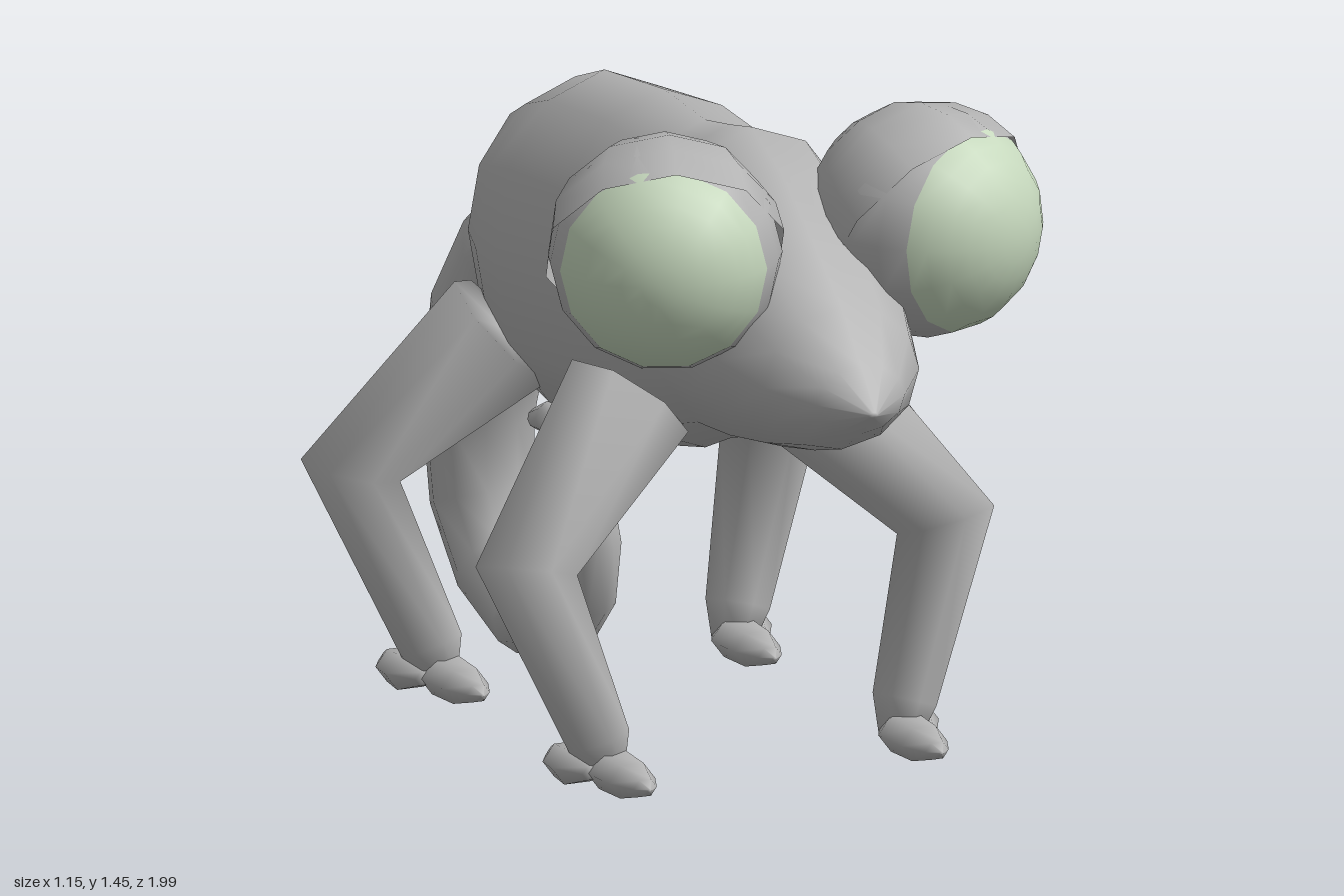
import * as THREE from 'three';

const skin = new THREE.MeshStandardMaterial({ color: 0xb3b3b3 });
skin.name = 'skinGrey';
const lidSkin = new THREE.MeshStandardMaterial({ color: 0xb3b3b3, side: THREE.DoubleSide });
lidSkin.name = 'eyelidGrey';
const iris = new THREE.MeshStandardMaterial({ color: 0xc6d8bd });
iris.name = 'paleGreen';

// Smooth skin over elliptical rings. Row: [x, y, z, radius along ref, other radius]
function loft(rows, sides, ref, axis) {
  const centres = rows.map(r => new THREE.Vector3(r[0], r[1], r[2]));
  const pos = [], index = [];
  rows.forEach((r, i) => {
    const last = rows.length - 1;
    const t = axis ? axis.clone()
      : centres[Math.min(i + 1, last)].clone().sub(centres[Math.max(i - 1, 0)]).normalize();
    const u = ref.clone().addScaledVector(t, -ref.dot(t)).normalize();
    const v = t.clone().cross(u);
    for (let j = 0; j < sides; j++) {
      const a = j / sides * Math.PI * 2;
      const p = centres[i].clone()
        .addScaledVector(u, Math.cos(a) * r[3])
        .addScaledVector(v, Math.sin(a) * (r[4] ?? r[3]));
      pos.push(p.x, p.y, p.z);
      if (i < last) {
        const k = (j + 1) % sides, b = i * sides, n = b + sides;
        index.push(b + j, b + k, n + j, b + k, n + k, n + j);
      }
    }
  });
  // Close both ends
  [0, rows.length - 1].forEach(e => {
    const c = pos.length / 3, b = e * sides;
    pos.push(...centres[e].toArray());
    for (let j = 0; j < sides; j++) {
      const k = (j + 1) % sides;
      if (e === 0) index.push(c, b + k, b + j);
      else index.push(c, b + j, b + k);
    }
  });
  const g = new THREE.BufferGeometry();
  g.setAttribute('position', new THREE.Float32BufferAttribute(pos, 3));
  g.setIndex(index);
  g.computeVertexNormals();
  return g;
}

function add(parent, name, geometry, material) {
  const m = new THREE.Mesh(geometry, material);
  m.name = name;
  parent.add(m);
  return m;
}

const X = new THREE.Vector3(1, 0, 0);
const Y = new THREE.Vector3(0, 1, 0);
const Z = new THREE.Vector3(0, 0, 1);

// Eyeball with a pale green front cap and a half-dome lid
function addEye(parent, s) {
  const eye = new THREE.Group();
  eye.name = s > 0 ? 'leftEye' : 'rightEye';
  eye.position.set(s * 0.295, 1.205, 0.63);
  const gaze = new THREE.Vector3(s * 0.45, -0.03, 0.89).normalize();
  const lidAxis = new THREE.Vector3(-s * 0.29, 0.57, -0.77).normalize();
  const cap = 1.08, r = 0.24;
  const front = add(eye, 'eyeFront', new THREE.SphereGeometry(r, 14, 6, 0, Math.PI * 2, 0, cap), iris);
  const back = add(eye, 'eyeBall', new THREE.SphereGeometry(r, 14, 8, 0, Math.PI * 2, cap, Math.PI - cap), skin);
  front.quaternion.setFromUnitVectors(Y, gaze);
  back.quaternion.copy(front.quaternion);
  const lid = add(eye, 'eyelid', new THREE.SphereGeometry(0.25, 10, 5, 0, Math.PI * 2, 0, Math.PI / 2), lidSkin);
  lid.quaternion.setFromUnitVectors(Y, lidAxis);
  parent.add(eye);
}

// Bent leg ending in two opposed toes
function addLeg(parent, name, s, hip, knee, ankle) {
  const leg = new THREE.Group();
  leg.name = name;
  const rows = [
    [...hip, 0.14, 0.145],
    [...knee, 0.115, 0.105],
    [ankle[0], ankle[1] + 0.03, ankle[2], 0.07, 0.068],
    [ankle[0] - 0.01, ankle[1] - 0.04, ankle[2], 0.045, 0.045],
  ].map(r => [r[0] * s, ...r.slice(1)]);
  add(leg, 'limb', loft(rows, 7, Z), skin);
  [[1, 0.21, -0.015], [-1, 0.14, 0.035]].forEach(([d, len, dx]) => {
    const toe = [[-0.04, 0.02], [0.03, 0.055], [len * 0.6, 0.05], [len * 0.9, 0.025], [len, 0.004]]
      .map(([z, r]) => [s * (ankle[0] + dx), 0.07, ankle[2] + d * z, r * 1.05, r * 0.8]);
    add(leg, d > 0 ? 'frontToe' : 'backToe', loft(toe, 6, X), skin);
  });
  parent.add(leg);
}

export function createModel() {
  const model = new THREE.Group();
  model.name = 'lizard';

  // Head and trunk: [z, top, bottom, half width]
  const profile = [
    [-0.645, 1.03, 0.97, 0.05], [-0.63, 1.1, 0.85, 0.12], [-0.53, 1.22, 0.68, 0.19],
    [-0.42, 1.28, 0.61, 0.225], [-0.28, 1.33, 0.59, 0.25], [0, 1.36, 0.605, 0.265],
    [0.2, 1.345, 0.65, 0.258], [0.32, 1.365, 0.7, 0.25], [0.42, 1.385, 0.73, 0.245],
    [0.57, 1.32, 0.745, 0.24], [0.72, 1.21, 0.775, 0.22], [0.85, 1.11, 0.81, 0.175],
    [0.94, 1.01, 0.865, 0.1], [1, 0.925, 0.915, 0.01],
  ];
  const bodyRows = profile.map(([z, top, bottom, w]) =>
    [0, (top + bottom) / 2, z, w, (top - bottom) / 2]);
  add(model, 'body', loft(bodyRows, 12, X, Z), skin);

  // Curled tail: [y, z, radius]
  const tail = [
    [0.95, -0.5, 0.12], [0.85, -0.68, 0.13], [0.68, -0.82, 0.128], [0.46, -0.882, 0.118],
    [0.28, -0.862, 0.11], [0.155, -0.775, 0.098], [0.087, -0.63, 0.087], [0.115, -0.47, 0.076],
    [0.2, -0.37, 0.066], [0.32, -0.327, 0.056], [0.44, -0.36, 0.047], [0.51, -0.44, 0.042],
    [0.53, -0.53, 0.037], [0.51, -0.6, 0.022],
  ].map(([y, z, r]) => [0, y, z, r]);
  add(model, 'tail', loft(tail, 10, X), skin);

  for (const s of [1, -1]) {
    const side = s > 0 ? 'left' : 'right';
    addEye(model, s);
    addLeg(model, side + 'FrontLeg', s, [0.2, 0.79, 0.25], [0.475, 0.48, 0.345], [0.345, 0.1, 0.42]);
    addLeg(model, side + 'HindLeg', s, [0.2, 0.79, -0.34], [0.475, 0.49, -0.49], [0.345, 0.1, -0.375]);
  }
  return model;
}
